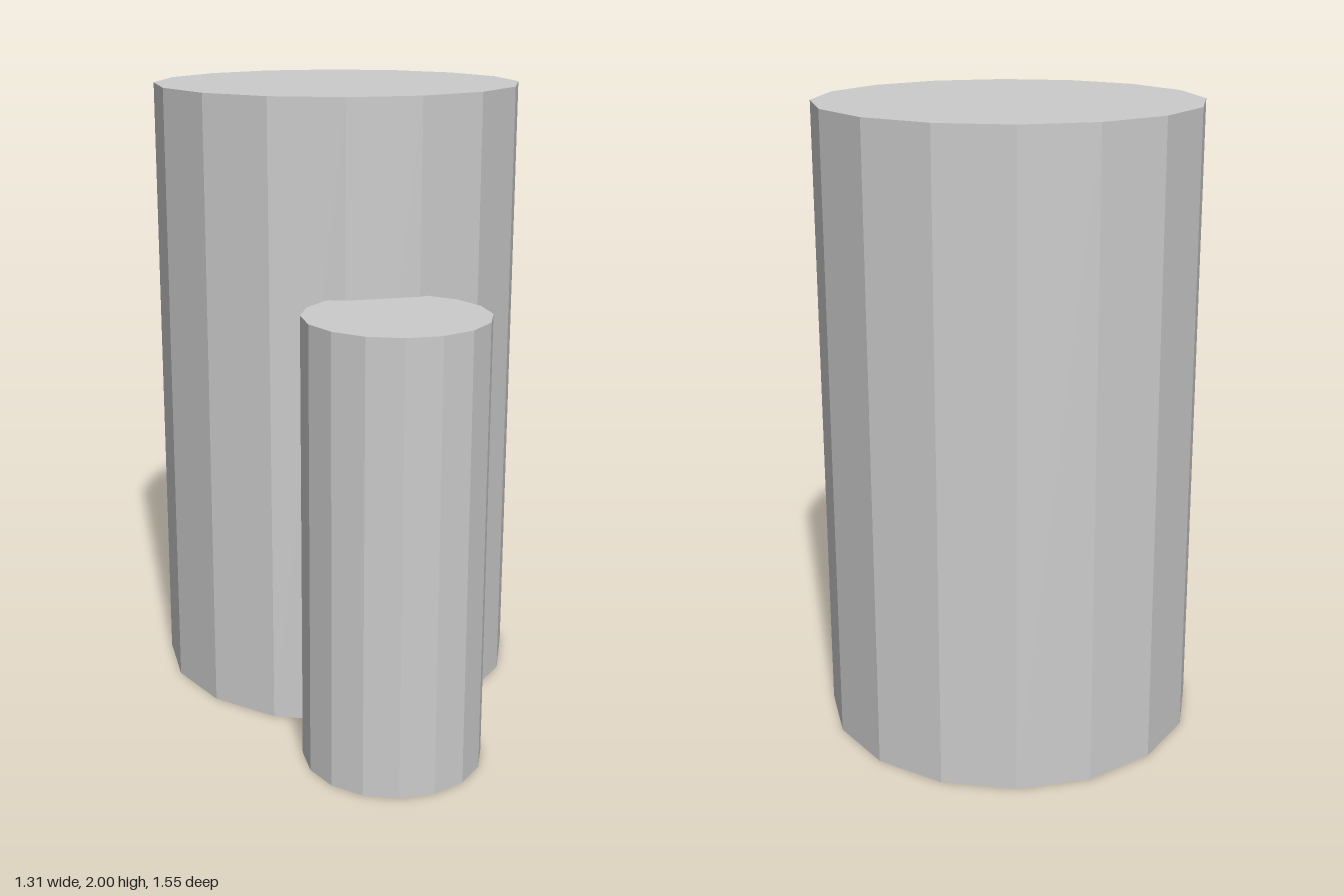
import * as THREE from 'three';

const SIDES = 16;

export function createModel() {
  const group = new THREE.Group();
  group.name = 'twinColumns';

  const grey = new THREE.MeshStandardMaterial({ color: 0xcccccc, flatShading: true });
  grey.name = 'light grey';

  // Faceted column standing on the ground
  const addColumn = (name, radius, height, x, z) => {
    const column = new THREE.Mesh(new THREE.CylinderGeometry(radius, radius, height, SIDES), grey);
    column.name = name;
    column.position.set(x, height / 2, z);
    group.add(column);
  };

  addColumn('tallColumn', 0.597, 2, -0.056, -0.179);
  addColumn('shortColumn', 0.279, 1.4, 0.374, 0.497);

  return group;
}
